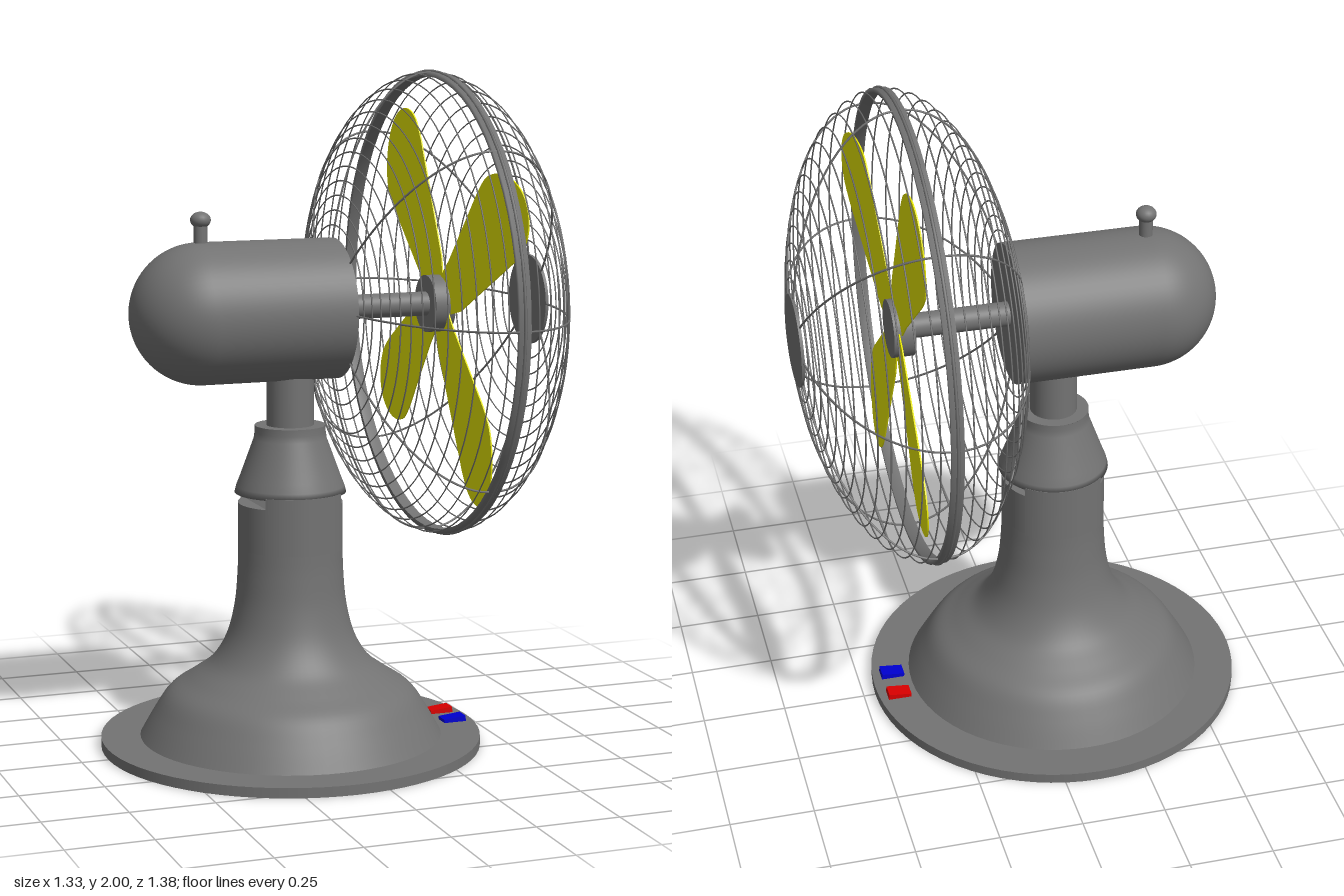
import * as THREE from 'three';

const paint = (color) => new THREE.MeshStandardMaterial({ color, side: THREE.DoubleSide });
const grey = paint(0x737373), yellow = paint(0xe6e600), red = paint(0xd80000), blue = paint(0x0000d0);

const CX = -0.103;   // stand axis
const AY = 1.305;    // fan axis height
const RIM_X = 0.34;  // plane of the widest cage ring

function add(parent, name, geometry, x = 0, y = 0, z = 0, material = grey) {
  const mesh = new THREE.Mesh(geometry, material);
  mesh.name = name;
  mesh.position.set(x, y, z);
  parent.add(mesh);
  return mesh;
}

const lathe = (points) =>
  new THREE.LatheGeometry(points.map(([r, y]) => new THREE.Vector2(r, y)), 64);

// Cylinder lying along x from x0 to x1
const rod = (r, x0, x1) =>
  new THREE.CylinderGeometry(r, r, x1 - x0, 48).rotateZ(-Math.PI / 2).translate((x0 + x1) / 2, 0, 0);

// Wire hoop facing along x
const hoop = (r, wire) => new THREE.TorusGeometry(r, wire, 4, 72).rotateY(Math.PI / 2);

function createStand() {
  const stand = new THREE.Group();
  stand.name = 'stand';
  stand.position.x = CX;
  add(stand, 'basePlate', new THREE.CylinderGeometry(0.567, 0.567, 0.03, 72), 0, 0.015);

  // Bell-shaped foot rising into the column
  const bell = new THREE.SplineCurve([
    [0.45, 0.03], [0.41, 0.1], [0.365, 0.165], [0.3, 0.21], [0.235, 0.26], [0.19, 0.335],
    [0.166, 0.43], [0.157, 0.53], [0.155, 0.6],
  ].map((p) => new THREE.Vector2(...p)));
  add(stand, 'pedestal', new THREE.LatheGeometry(bell.getPoints(40), 64));
  add(stand, 'pedestalTop', new THREE.CircleGeometry(0.155, 64).rotateX(-Math.PI / 2), 0, 0.6);

  // Interlocking tabs: lower pair at the sides, wider upper pair at front and back
  for (let i = 0; i < 4; i++) {
    const upper = i % 2 === 1;
    const shape = new THREE.Shape();
    shape.absarc(0, 0, upper ? 0.165 : 0.155, -Math.PI / 4, Math.PI / 4);
    shape.closePath();
    const tab = new THREE.ExtrudeGeometry(shape, { depth: upper ? 0.17 : 0.135, bevelEnabled: false, curveSegments: 16 });
    tab.rotateX(-Math.PI / 2).rotateY(i * Math.PI / 2);
    add(stand, upper ? 'upperTab' : 'lowerTab', tab, 0, 0.6);
  }

  add(stand, 'neck', lathe([[0, 0.765], [0.165, 0.765], [0.16, 0.785], [0.15, 0.81], [0.108, 0.925], [0.105, 0.945], [0.105, 0.965]]));
  add(stand, 'neckTop', new THREE.CircleGeometry(0.105, 48).rotateX(-Math.PI / 2), 0, 0.965);
  add(stand, 'neckPost', new THREE.CylinderGeometry(0.07, 0.07, 0.18, 32), 0, 1.04);

  // Switches on the base plate
  for (const [name, z, material] of [['redSwitch', -0.053, red], ['blueSwitch', 0.053, blue]]) {
    const key = add(stand, name, new THREE.BoxGeometry(0.07, 0.02, 0.046), 0.4 - CX, 0.034, z, material);
    key.rotation.z = 0.1;
  }
  return stand;
}

function createMotor() {
  const motor = new THREE.Group();
  motor.name = 'motor';
  motor.position.y = AY;
  // Round-backed housing, turned about x
  const r = 0.207, profile = [];
  for (let i = 0; i <= 20; i++) {
    const a = (i / 20) * Math.PI / 2;
    profile.push([r * Math.sin(a), -0.378 - r * Math.cos(a)]);
  }
  profile.push([r, 0.035]);
  add(motor, 'motorHousing', lathe(profile).rotateZ(-Math.PI / 2));
  add(motor, 'motorFace', new THREE.CircleGeometry(r, 64).rotateY(Math.PI / 2), 0.035);
  add(motor, 'shaft', rod(0.036, 0.03, 0.34));
  // Swing knob
  add(motor, 'knobStem', new THREE.CylinderGeometry(0.02, 0.02, 0.09, 20), -0.375, 0.23);
  add(motor, 'knob', new THREE.SphereGeometry(0.03, 24, 16).scale(1, 0.8, 1), -0.375, 0.272);
  return motor;
}

// One blade pointing up, its tip leaning forward and its face slightly pitched
function bladeGeometry(lean) {
  // Straight on one edge, bulging on the other
  const shape = new THREE.Shape();
  shape.moveTo(-0.06, 0.05);
  shape.lineTo(-0.08, 0.12);
  shape.lineTo(-0.093, 0.5);
  shape.splineThru([[-0.083, 0.57], [-0.05, 0.62], [0, 0.645], [0.06, 0.64], [0.12, 0.6], [0.165, 0.54], [0.187, 0.47], [0.175, 0.4]]
    .map((p) => new THREE.Vector2(...p)));
  shape.lineTo(0.08, 0.13);
  shape.lineTo(0.06, 0.05);
  const blade = new THREE.ExtrudeGeometry(shape, { depth: 0.004, bevelEnabled: false, curveSegments: 24 });
  const p = blade.attributes.position;
  for (let i = 0; i < p.count; i++) p.setZ(i, p.getZ(i) + lean * p.getY(i) - 0.05 * p.getX(i));
  blade.computeVertexNormals();
  return blade.rotateY(Math.PI / 2);
}

function createRotor() {
  const rotor = new THREE.Group();
  rotor.name = 'rotor';
  rotor.position.y = AY;
  add(rotor, 'hub', rod(0.085, 0.325, 0.388));
  // The pair reaching sideways leans further forward than the upright pair
  const pairs = [bladeGeometry(0.01), bladeGeometry(0.055)];
  for (let k = 0; k < 4; k++) {
    add(rotor, 'blade', pairs[k % 2], 0.365, 0, 0, yellow).rotation.x = -Math.PI / 6 + k * Math.PI / 2;
  }
  return rotor;
}

function createCage() {
  const cage = new THREE.Group();
  cage.name = 'cage';
  cage.position.set(RIM_X, AY, 0);
  const a = 0.325, b = 0.685, wire = 0.0023;

  // Rim band with a bead along its middle
  add(cage, 'rimBand', lathe([[b - 0.012, -0.015], [b + 0.002, -0.015], [b + 0.002, 0.02], [b - 0.012, 0.02], [b - 0.012, -0.015]])
    .rotateZ(-Math.PI / 2));
  add(cage, 'rimBead', hoop(b + 0.002, 0.005), 0.002);

  // Front and back halves: hoops evenly spaced along an elliptical profile
  for (const [side, endRadius] of [[1, 0.13], [-1, 0.2]]) {
    const half = new THREE.EllipseCurve(0, 0, a, b, Math.PI / 2, Math.acos(Math.sqrt(1 - (endRadius / b) ** 2)), true);
    const points = half.getSpacedPoints(14);
    points.slice(1).forEach((q) => add(cage, 'cageHoop', hoop(q.y, wire), side * q.x));
    const path = new THREE.CatmullRomCurve3(points.map((q) => new THREE.Vector3(side * q.x, q.y, 0)));
    const rib = new THREE.TubeGeometry(path, 32, wire * 1.4, 5);
    for (let k = 0; k < 8; k++) add(cage, 'cageRib', rib).rotation.x = k * Math.PI / 4;
  }
  add(cage, 'backRing', hoop(0.2, 0.007), -0.311);
  add(cage, 'frontCap', rod(0.135, 0.316, 0.325));
  return cage;
}

export function createModel() {
  const fan = new THREE.Group();
  fan.name = 'deskFan';
  fan.add(createStand(), createMotor(), createRotor(), createCage());
  return fan;
}
